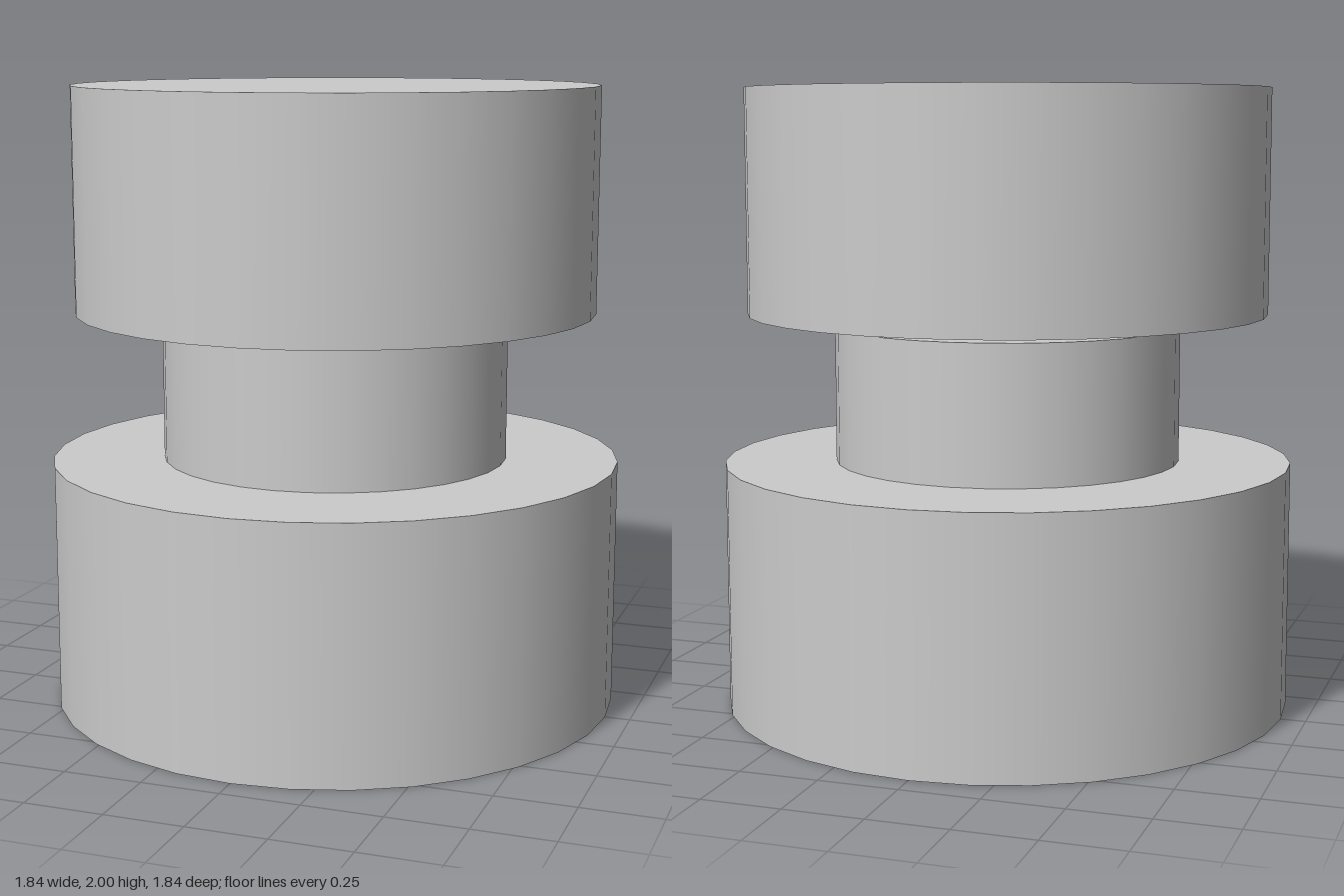
import * as THREE from 'three';

const SIDES = 32;

export function createModel() {
  const model = new THREE.Group();
  model.name = 'stackedCylinders';
  const material = new THREE.MeshStandardMaterial({ color: 0xcccccc });

  // Closed upright drum between two heights
  function addDrum(name, radius, bottom, top) {
    const geometry = new THREE.CylinderGeometry(radius, radius, top - bottom, SIDES);
    const mesh = new THREE.Mesh(geometry, material);
    mesh.name = name;
    mesh.position.y = (bottom + top) / 2;
    model.add(mesh);
  }

  addDrum('base', 0.92, 0, 0.8);
  addDrum('neck', 0.56, 0.8, 1.24);
  // The cap floats just above the neck
  addDrum('cap', 0.84, 1.28, 2);

  return model;
}
